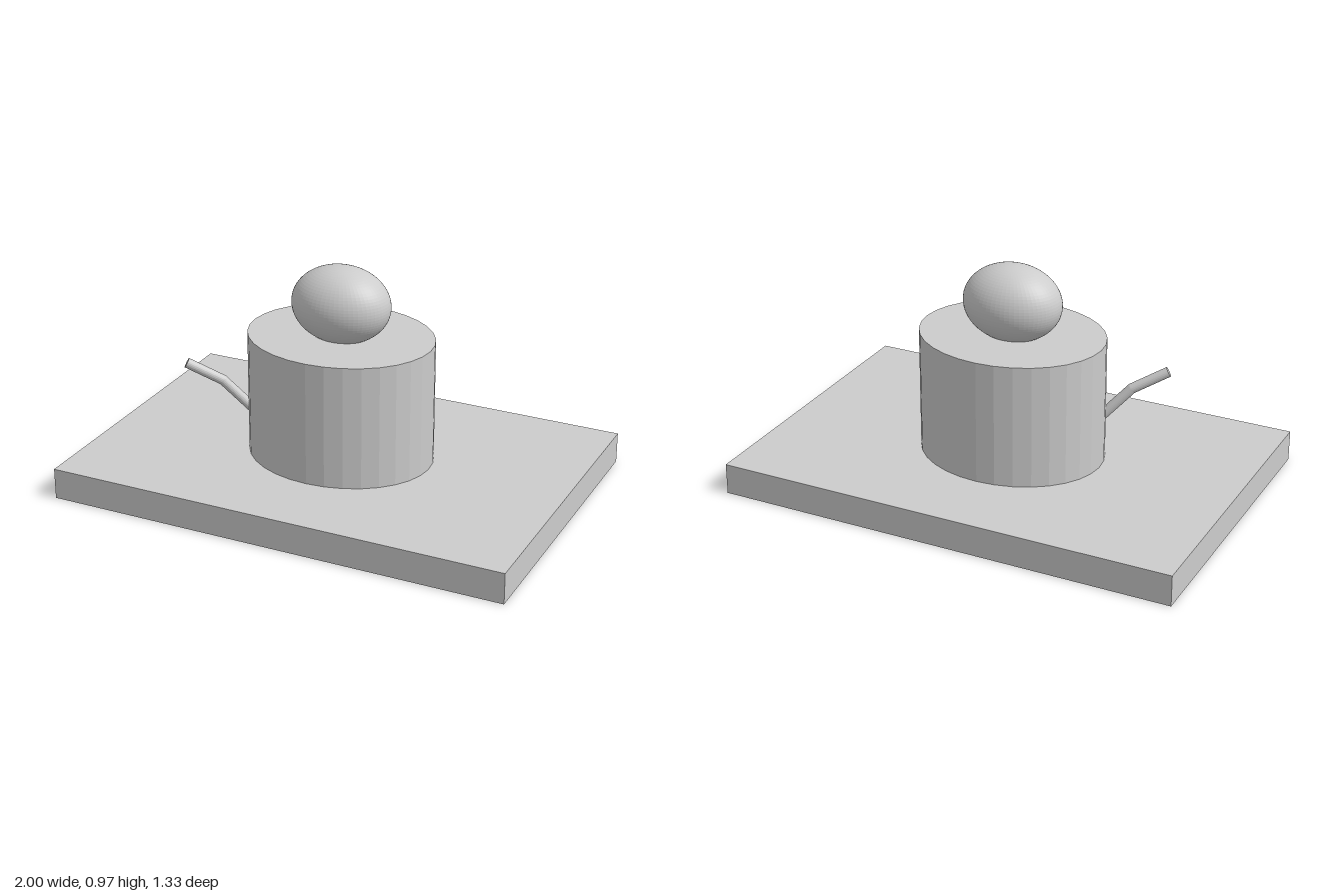
import * as THREE from 'three';

export function createModel() {
  const model = new THREE.Group();
  const lightGrey = new THREE.MeshStandardMaterial({ color: 0xcccccc, flatShading: true });
  lightGrey.name = 'lightGrey';

  const add = (name, geometry) => {
    const mesh = new THREE.Mesh(geometry, lightGrey);
    mesh.name = name;
    model.add(mesh);
    return mesh;
  };

  // Flat slab everything stands on
  add('base', new THREE.BoxGeometry(2, 0.1333, 1.3333)).position.y = 0.0667;

  // Oval drum with visible facets
  const drum = add('drum', new THREE.CylinderGeometry(1, 1, 0.5333, 32));
  drum.scale.set(0.4, 1, 0.3333);
  drum.position.y = 0.4;

  // Wide ellipsoid sunk slightly into the drum top
  const knob = add('knob', new THREE.SphereGeometry(1, 64, 40));
  knob.scale.set(0.2133, 0.1633, 0.1633);
  knob.position.y = 0.8033;

  // Bent rod rising out of the drum's side
  const radius = 0.0215;
  const path = [
    new THREE.Vector3(-0.33, 0.285, 0.104),
    new THREE.Vector3(-0.467, 0.44, 0.167),
    new THREE.Vector3(-0.603, 0.518, 0.23),
  ];
  const up = new THREE.Vector3(0, 1, 0);
  ['lowerRod', 'upperRod'].forEach((name, i) => {
    const along = path[i + 1].clone().sub(path[i]);
    const rod = add(name, new THREE.CylinderGeometry(radius, radius, along.length(), 20));
    rod.position.copy(path[i]).addScaledVector(along, 0.5);
    rod.quaternion.setFromUnitVectors(up, along.normalize());
  });
  add('rodElbow', new THREE.SphereGeometry(radius, 20, 12)).position.copy(path[1]);

  return model;
}
